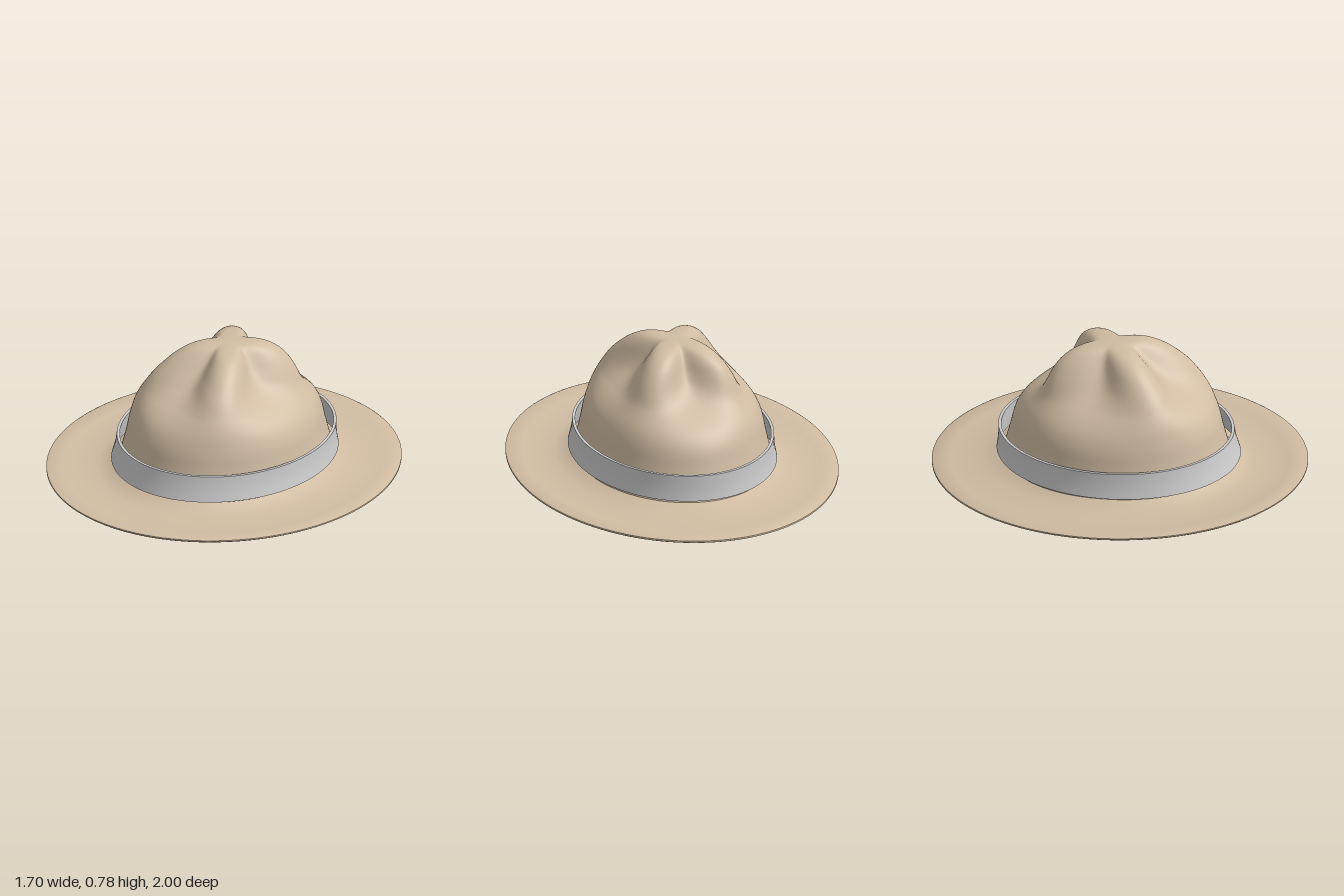
import * as THREE from 'three';
import { toCreasedNormals } from 'three/addons/utils/BufferGeometryUtils.js';

const SEG = 144;

// Skin closed rings of points; point(row, angle) gives [x, y, z], angle 0 is the front.
function loft(rows, point) {
  const pos = [], index = [];
  rows.forEach((row, i) => {
    for (let j = 0; j < SEG; j++) {
      pos.push(...point(row, (j / SEG) * Math.PI * 2));
      if (i === rows.length - 1) continue;
      const a = i * SEG + j, b = i * SEG + (j + 1) % SEG;
      index.push(a, b, b + SEG, a, b + SEG, a + SEG);
    }
  });
  const geo = new THREE.BufferGeometry();
  geo.setAttribute('position', new THREE.Float32BufferAttribute(pos, 3));
  geo.setIndex(index);
  geo.computeVertexNormals();
  return geo;
}

// Tilted elliptical ring: half width, half depth, height, slope towards the front, z centre
const ring = ([rx, rz, y, slope, zc = 0], a) => {
  const z = rz * Math.cos(a) + zc;
  return [rx * Math.sin(a), y + slope * z, z];
};

// Smooth curve through a few rows of three numbers
const smooth = (rows, n) =>
  new THREE.CatmullRomCurve3(rows.map(r => new THREE.Vector3(...r)), false, 'centripetal')
    .getPoints(n).map(p => p.toArray());

const bump = (v, centre, width) => Math.exp(-(((v - centre) / width) ** 2));

function add(group, name, geometry, material) {
  const mesh = new THREE.Mesh(geometry, material);
  mesh.name = name;
  group.add(mesh);
}

export function createModel() {
  const group = new THREE.Group();
  group.name = 'campaignHat';
  const felt = new THREE.MeshStandardMaterial({ color: 0xd0bca2, side: THREE.DoubleSide });
  const grey = new THREE.MeshStandardMaterial({ color: 0xcccccc, side: THREE.DoubleSide });

  // Brim: underside from the opening outwards, around the rim, back over the top
  const brim = [
    [0.505, 0.61, 0.115, 0.055],
    [0.515, 0.618, 0.08, 0.052],
    [0.54, 0.645, 0.062, 0.05],
    [0.598, 0.71, 0.056, 0.048],
    [0.603, 0.716, 0.049, 0.046],
    [0.66, 0.79, 0.050, 0.047],
    [0.76, 0.90, 0.058, 0.057],
    [0.84, 0.99, 0.069, 0.066],
    [0.849, 0.999, 0.075, 0.067],
    [0.849, 0.999, 0.083, 0.066],
    [0.84, 0.99, 0.088, 0.065],
    [0.76, 0.90, 0.081, 0.06],
    [0.68, 0.81, 0.082, 0.055],
    [0.60, 0.72, 0.090, 0.05],
    [0.55, 0.66, 0.100, 0.047],
    [0.505, 0.61, 0.125, 0.055],
  ];
  add(group, 'brim', toCreasedNormals(loft(brim, ring), 0.9), felt);

  // Crown: height, radius along the four ridges, radius in the four dents (1 = full ellipse)
  const crown = smooth([
    [0.11, 1.075, 1.075],
    [0.17, 1.045, 1.045],
    [0.28, 0.995, 0.995],
    [0.36, 0.965, 0.96],
    [0.42, 0.935, 0.91],
    [0.46, 0.91, 0.855],
    [0.50, 0.875, 0.77],
    [0.54, 0.83, 0.65],
    [0.60, 0.75, 0.48],
    [0.66, 0.65, 0.365],
    [0.71, 0.55, 0.29],
    [0.75, 0.43, 0.225],
    [0.771, 0.31, 0.17],
    [0.779, 0.16, 0.10],
    [0.781, 0, 0],
  ], 72);
  add(group, 'pinchedCrown', loft(crown, ([y, ridge, dent], a) => {
    // Ridges on the diagonals with broad hollows between, lower at the back
    const r = THREE.MathUtils.lerp(dent, ridge, Math.sin(2 * a) ** 2);
    const back = 1 - 0.1 * ((1 - Math.cos(a)) / 2) ** 2 * bump(y, 0.54, 0.09);
    const zc = -0.015 - 0.025 * THREE.MathUtils.smoothstep(y, 0.6, 0.77);
    return ring([0.475 * r * back, 0.57 * r * back, y, 0.05, zc], a);
  }), felt);

  // Hat band: thin flared strip standing slightly clear of the crown
  const band = [
    [0.53, 0.652, 0.14, 0.055, -0.007],
    [0.522, 0.644, 0.175, 0.055, -0.01],
    [0.514, 0.636, 0.22, 0.055, -0.015],
    [0.511, 0.631, 0.277, 0.055, -0.02],
    [0.496, 0.615, 0.277, 0.055, -0.02],
    [0.502, 0.622, 0.22, 0.055, -0.015],
    [0.52, 0.642, 0.14, 0.055, -0.007],
    [0.53, 0.652, 0.14, 0.055, -0.007],
  ];
  add(group, 'hatBand', toCreasedNormals(loft(band, ring), 0.6), grey);

  return group;
}
